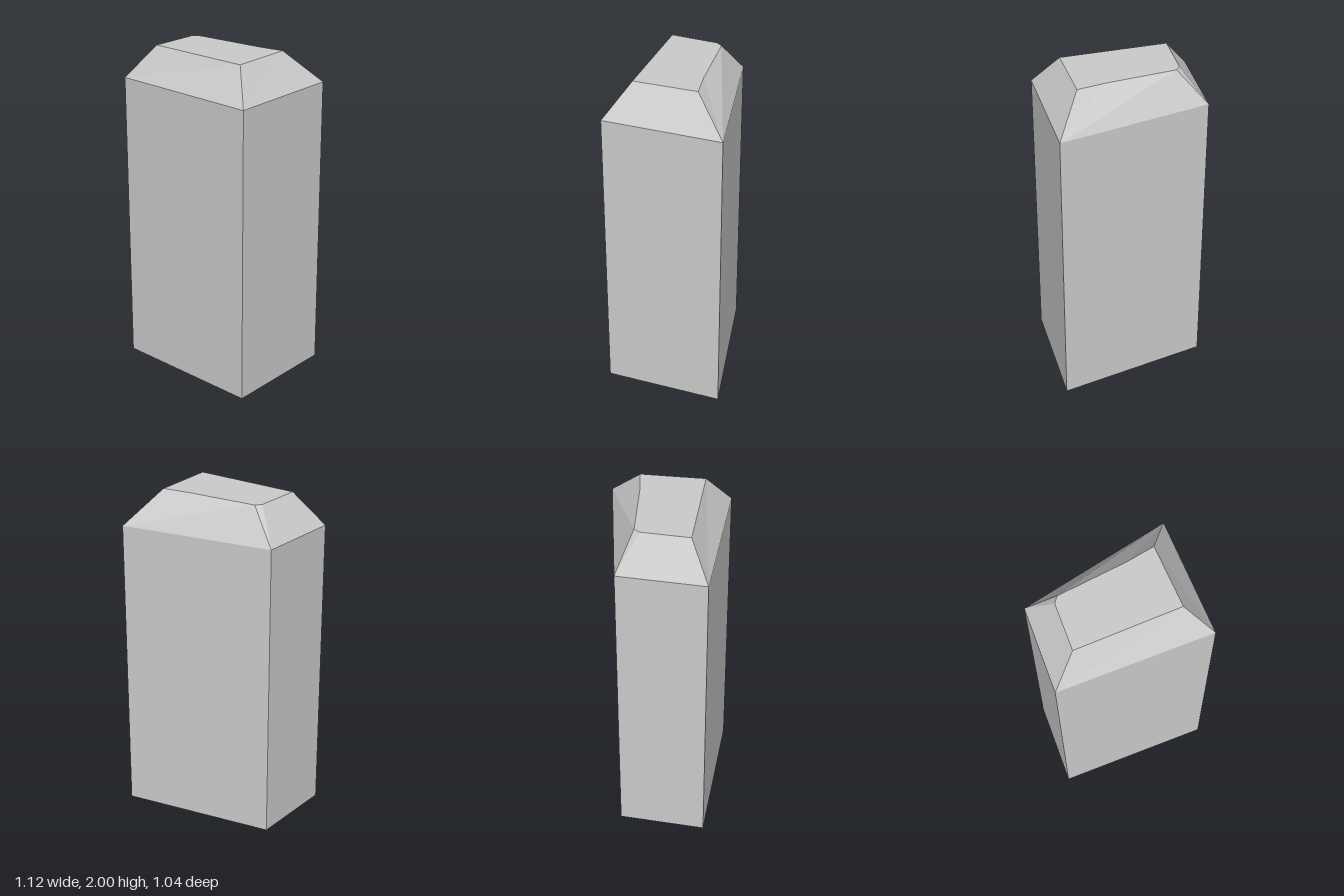
import * as THREE from 'three';

// Plan outlines as [x, z], anticlockwise seen from above
const EAVES = [[-0.56, -0.22], [0, 0.52], [0.56, 0.08], [-0.14, -0.52]];
const CROWN = [[-0.375, -0.17], [0.02, 0.325], [0.315, 0.085], [0.19, -0.03], [-0.1, -0.335], [-0.145, -0.335]];
const BASE_Y = 0, EAVES_Y = 1.8, TOP_Y = 2;

const ring = (outline, y) => outline.map(([x, z]) => [x, y, z]);

// Flat-shaded mesh from convex polygons, each fanned from its first corner
function facetMesh(name, polygons, material) {
  const positions = [];
  for (const p of polygons) {
    for (let i = 1; i < p.length - 1; i++) positions.push(...p[0], ...p[i], ...p[i + 1]);
  }
  const geometry = new THREE.BufferGeometry();
  geometry.setAttribute('position', new THREE.Float32BufferAttribute(positions, 3));
  geometry.computeVertexNormals();
  const mesh = new THREE.Mesh(geometry, material);
  mesh.name = name;
  return mesh;
}

export function createModel() {
  const group = new THREE.Group();
  group.name = 'towerBlock';
  const material = new THREE.MeshStandardMaterial({ color: 0xcccccc, flatShading: true });

  const base = ring(EAVES, BASE_Y);
  const eaves = ring(EAVES, EAVES_Y);
  const crown = ring(CROWN, TOP_Y);

  // Upright walls and floor
  const walls = base.map((corner, i) => {
    const j = (i + 1) % base.length;
    return [corner, base[j], eaves[j], eaves[i]];
  });
  group.add(facetMesh('walls', walls, material));
  group.add(facetMesh('floor', [[...base].reverse()], material));

  // Sloping roof facets between eaves and crown
  const [west, south, east, north] = eaves;
  const [cWest, cSouth, cEast, cMid, cNorthEast, cNorth] = crown;
  group.add(facetMesh('roofSlopes', [
    [west, south, cSouth], [west, cSouth, cWest],
    [south, east, cEast, cSouth],
    [east, north, cNorthEast], [east, cNorthEast, cMid], [east, cMid, cEast],
    [north, cNorth, cNorthEast],
    [north, west, cWest, cNorth],
  ], material));

  // Flat top, fanned from the south corner
  group.add(facetMesh('roofTop', [[cSouth, cEast, cMid, cNorthEast, cNorth, cWest]], material));
  return group;
}
